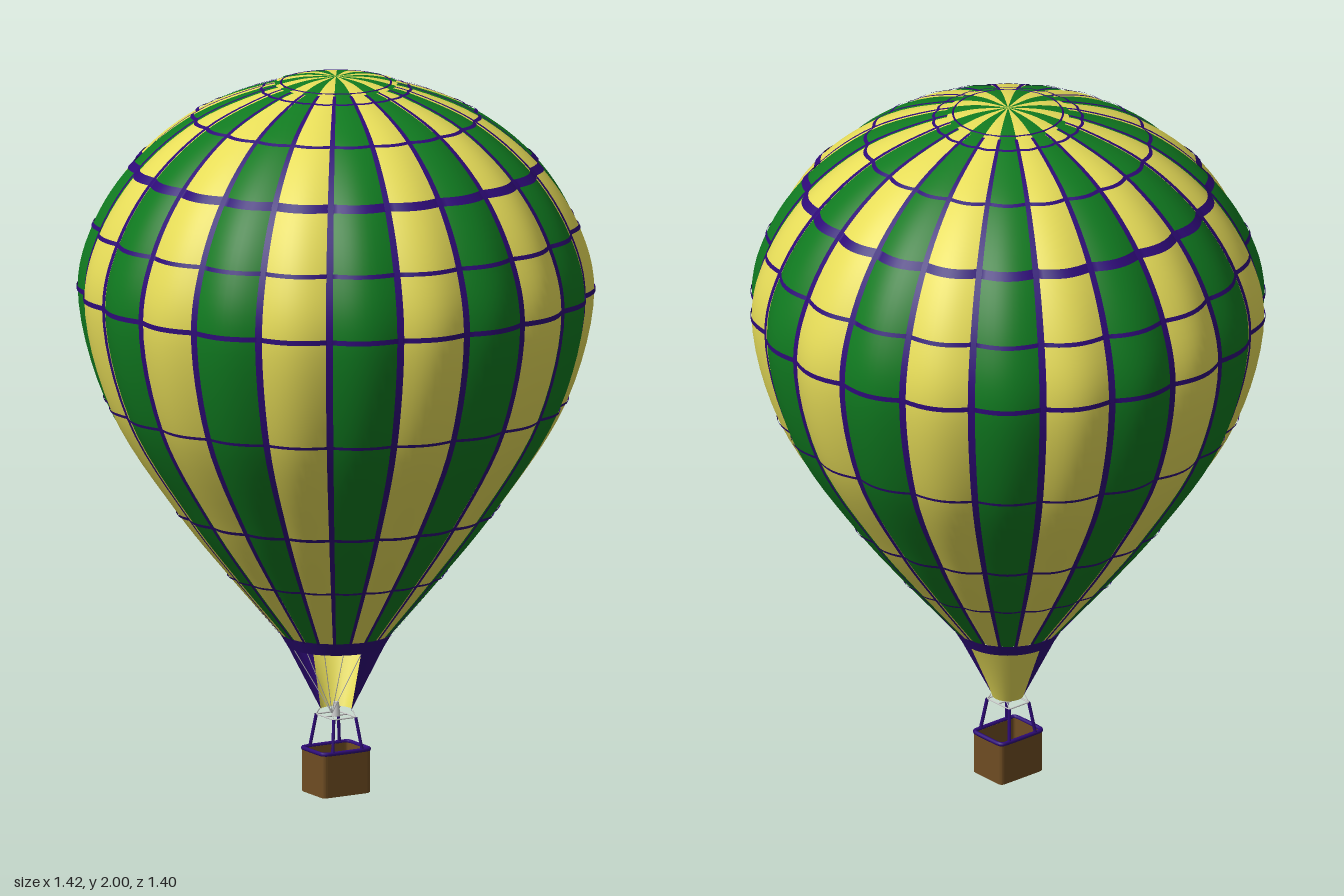
import * as THREE from 'three';
import { ParametricGeometry } from 'three/addons/geometries/ParametricGeometry.js';

const GORES = 22, STEP = (Math.PI * 2) / GORES, BULGE = 0.03;
const V = (x, y, z) => new THREE.Vector3(x, y, z);
const mat = (color) => new THREE.MeshStandardMaterial({ color, side: THREE.DoubleSide });

export function createModel() {
  const model = new THREE.Group();
  const green = mat(0x107a20), yellow = mat(0xe6dc58), purple = mat(0x2e0a78);
  const brown = mat(0x6e4c22), grey = mat(0xcccccc);

  const add = (name, geo, material, parent = model) => {
    const m = new THREE.Mesh(geo, material);
    m.name = name;
    parent.add(m);
    return m;
  };
  const group = (name) => {
    const g = new THREE.Group();
    g.name = name;
    model.add(g);
    return g;
  };
  const rod = (name, a, b, radius, material, parent) =>
    add(name, new THREE.TubeGeometry(new THREE.LineCurve3(a, b), 1, radius, 6), material, parent);

  // Seam profile of the envelope: x is radius, y is height
  const points = [[0.148, 0.445], [0.292, 0.62], [0.43, 0.80], [0.613, 1.10], [0.684, 1.41],
    [0.643, 1.585], [0.54, 1.75], [0.38, 1.885], [0.198, 1.962], [0.14, 1.976]];
  const profile = new THREE.CatmullRomCurve3(points.map(([r, y]) => V(r, y, 0)));
  const capProfile = new THREE.CatmullRomCurve3([V(0.163, 1.98, 0), V(0.09, 1.995, 0), V(0.001, 2, 0)]);
  const lobe = (s) => 1 + BULGE * Math.cos(s * Math.PI / 2); // s runs from -1 to 1 over one gore

  // One billowed cloth panel, reused around the axis
  const gore = (curve, rows) => new ParametricGeometry((u, v, out) => {
    const p = curve.getPoint(v), s = u * 2 - 1, a = s * STEP / 2, r = p.x * lobe(s);
    out.set(r * Math.cos(a), p.y, -r * Math.sin(a));
  }, 10, rows);

  // Strip lying lengthwise over a seam
  const seam = new ParametricGeometry((u, v, out) => {
    const p = profile.getPoint(v), t = profile.getTangent(v);
    const w = 0.005 + 0.015 * p.x / 0.7;
    out.set(p.x + t.y * 0.005, p.y - t.x * 0.005, (0.5 - u) * w);
  }, 1, 54);

  const envelope = group('envelope'), cap = group('crownCap'), tapes = group('seamTapes');
  const goreGeo = gore(profile, 54), capGeo = gore(capProfile, 10);
  for (let k = 0; k < GORES; k++) {
    const cloth = k % 2 ? green : yellow;
    add('gore', goreGeo, cloth, envelope).rotation.y = k * STEP;
    add('capPanel', capGeo, cloth, cap).rotation.y = k * STEP;
    add('seamTape', seam, purple, tapes).rotation.y = (k + 0.5) * STEP;
  }

  // Horizontal tapes following the billows
  const bands = group('horizontalTapes');
  const widths = [0.008, 0.011, 0.009, 0.014, 0.012, 0.027, 0.011, 0.008];
  widths.forEach((w, i) => {
    const q = (i + 1) / (points.length - 1);
    const p = profile.getPoint(q), t = profile.getTangent(q);
    add('horizontalTape', new ParametricGeometry((u, v, out) => {
      const a = u * Math.PI * 2, f = a / STEP + 0.5;
      const s = (f - Math.floor(f)) * 2 - 1, d = (v - 0.5) * w;
      const r = (p.x + t.x * d) * lobe(s) + t.y * 0.003;
      out.set(r * Math.cos(a), p.y + t.y * d - t.x * 0.003, -r * Math.sin(a));
    }, GORES * 8, 1), purple, bands);
  });
  const rim = add('crownRing', new THREE.TorusGeometry(0.15, 0.004, 6, 66), purple, cap);
  rim.rotation.x = Math.PI / 2;
  rim.position.y = 1.981;

  // Mouth band and skirt; angles go from +x towards +z
  const TOP = 0.41, LOW = 0.23, R_TOP = 0.132, R_LOW = 0.043, Q = Math.PI / 4;
  add('mouthBand', new THREE.CylinderGeometry(0.154, R_TOP, 0.037, 44, 1, true), purple).position.y = 0.428;
  const panel = (name, centre, lowHalf, material) =>
    add(name, new ParametricGeometry((u, v, out) => {
      const s = 1 - u * 2, a = centre + s * Q, b = centre + s * lowHalf;
      out.set(
        THREE.MathUtils.lerp(R_LOW * Math.cos(b), R_TOP * Math.cos(a), v),
        THREE.MathUtils.lerp(LOW, TOP, v),
        THREE.MathUtils.lerp(R_LOW * Math.sin(b), R_TOP * Math.sin(a), v));
    }, 12, 8), material);
  panel('skirtSide', Q, 0.02, purple);
  panel('skirtSide', Q + Math.PI, 0.02, purple);
  panel('skirtBack', -Q, Math.PI / 2, yellow);

  // Rigging across the open side of the skirt
  const rigging = group('rigging');
  const corner = (x, z, y) => V(0.033 * x, y, 0.033 * z);
  for (let i = 0; i <= 4; i++) {
    const a = Math.PI / 2 + i * Math.PI / 8;
    rod('wire', V(R_TOP * Math.cos(a), TOP, R_TOP * Math.sin(a)), corner(-1, 1, LOW), 0.0012, grey, rigging);
  }

  // Burner frame, uprights and burner
  const ring = [[1, 1], [1, -1], [-1, -1], [-1, 1]];
  ring.forEach(([x, z], i) => {
    const [nx, nz] = ring[(i + 1) % 4];
    const head = V(0.035 * x, 0.213, 0.046 * z);
    rod('frameBar', head, V(0.035 * nx, 0.213, 0.046 * nz), 0.002, grey, rigging);
    rod('frameCable', corner(x, z, LOW), head, 0.0015, grey, rigging);
    rod('upright', head, V(0.047 * x, 0.122, 0.06 * z), 0.005, purple, rigging);
  });
  add('burner', new THREE.CylinderGeometry(0.008, 0.012, 0.04, 12), grey, rigging).position.y = 0.232;
  rod('burnerBar', V(-0.035, 0.213, 0), V(0.035, 0.213, 0), 0.002, grey, rigging);

  // Open basket with rounded corners, floor and padded rim
  const basket = group('basket');
  const rounded = (Type, x, z, r) => {
    const s = new Type();
    s.moveTo(x, -z + r);
    s.lineTo(x, z - r).quadraticCurveTo(x, z, x - r, z);
    s.lineTo(-x + r, z).quadraticCurveTo(-x, z, -x, z - r);
    s.lineTo(-x, -z + r).quadraticCurveTo(-x, -z, -x + r, -z);
    s.lineTo(x - r, -z).quadraticCurveTo(x, -z, x, -z + r);
    return s;
  };
  const slab = (shape, depth, y) => {
    const g = new THREE.ExtrudeGeometry(shape, { depth, bevelEnabled: false, curveSegments: 5 });
    return g.rotateX(-Math.PI / 2).translate(0, y, 0);
  };
  const walls = rounded(THREE.Shape, 0.077, 0.061, 0.014);
  walls.holes.push(rounded(THREE.Path, 0.07, 0.054, 0.01));
  add('walls', slab(walls, 0.118, 0.002), brown, basket);
  add('floor', slab(rounded(THREE.Shape, 0.075, 0.059, 0.013), 0.008, 0), brown, basket);
  const edge = rounded(THREE.Path, 0.075, 0.059, 0.014).getPoints(4).map((p) => V(p.x, 0.122, p.y));
  edge.pop();
  add('paddedRim', new THREE.TubeGeometry(
    new THREE.CatmullRomCurve3(edge, true, 'centripetal'), 64, 0.006, 8, true), purple, basket);
  return model;
}
